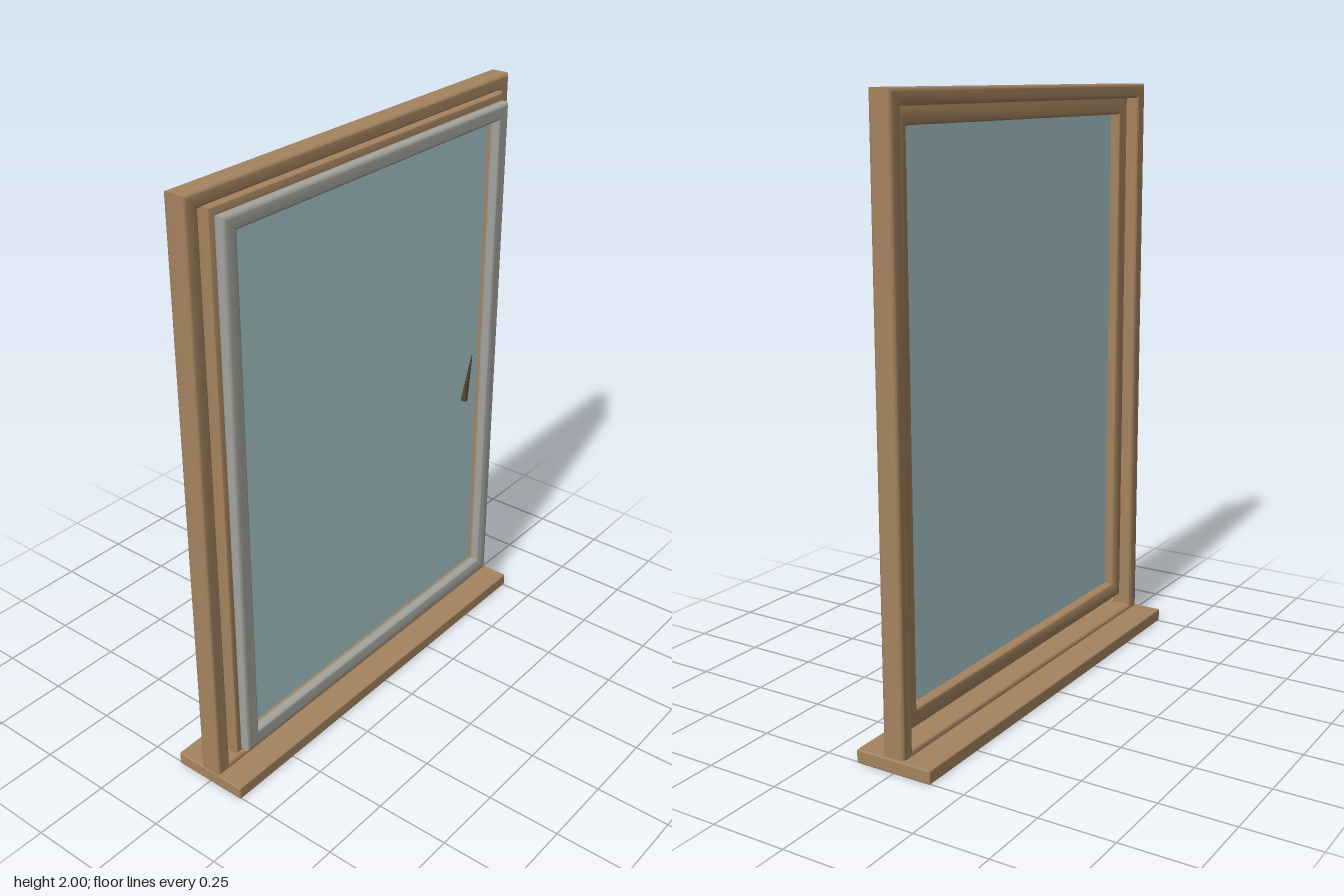
import * as THREE from 'three';
import { toCreasedNormals } from 'three/addons/utils/BufferGeometryUtils.js';
import { RoundedBoxGeometry } from 'three/addons/geometries/RoundedBoxGeometry.js';

const material = (color) => new THREE.MeshStandardMaterial({ color });
const wood = material(0xa5845f);
const grey = material(0xa3a49e);
const glass = material(0xa9c8ca);
const metal = material(0x54452e);

function part(name, geometry, mat) {
  const mesh = new THREE.Mesh(geometry, mat);
  mesh.name = name;
  return mesh;
}

function rectangle(Type, [x0, x1, y0, y1]) {
  return new Type([[x0, y0], [x1, y0], [x1, y1], [x0, y1]].map((p) => new THREE.Vector2(...p)));
}

// Rectangular frame with rounded edges, between depths z0 and z1
function frame(name, outer, inner, z0, z1, bevel, mat) {
  const shape = rectangle(THREE.Shape, outer);
  shape.holes.push(rectangle(THREE.Path, inner));
  const geometry = new THREE.ExtrudeGeometry(shape, {
    depth: z1 - z0 - 2 * bevel,
    bevelThickness: bevel,
    bevelSize: bevel,
    bevelOffset: -bevel,
    bevelSegments: 4,
  });
  geometry.translate(0, 0, z0 + bevel);
  return part(name, toCreasedNormals(geometry, 0.6), mat);
}

export function createModel() {
  const window = new THREE.Group();
  window.name = 'window';

  // Sill board
  const sill = part('sill', new RoundedBoxGeometry(1.514, 0.045, 0.27, 2, 0.005), wood);
  sill.position.y = 0.0225;
  window.add(sill);

  // Fixed frame standing on the sill
  window.add(frame('outerFrame', [-0.755, 0.75, 0.01, 2], [-0.7, 0.698, 0.062, 1.95], -0.035, 0.04, 0.012, wood));

  // Opening sash: wood behind, grey cladding in front
  window.add(frame('sash', [-0.69, 0.685, 0.1, 1.955], [-0.63, 0.625, 0.16, 1.895], 0, 0.062, 0.01, wood));
  window.add(frame('sashCladding', [-0.673, 0.668, 0.118, 1.932], [-0.617, 0.613, 0.175, 1.88], 0.06, 0.098, 0.012, grey));

  // Glass pane
  const pane = part('glassPane', new THREE.BoxGeometry(1.27, 1.75, 0.012), glass);
  pane.position.set(-0.002, 1.0275, 0.04);
  window.add(pane);

  // Tapered handle leaning forward at the top
  const bottom = new THREE.Vector3(0.467, 0.927, 0.105);
  const tip = new THREE.Vector3(0.467, 1.105, 0.129);
  const axis = tip.clone().sub(bottom);
  const handle = part('handle', new THREE.CylinderGeometry(0.002, 0.011, axis.length(), 12), metal);
  handle.position.copy(bottom).lerp(tip, 0.5);
  handle.quaternion.setFromUnitVectors(new THREE.Vector3(0, 1, 0), axis.normalize());
  window.add(handle);

  return window;
}
